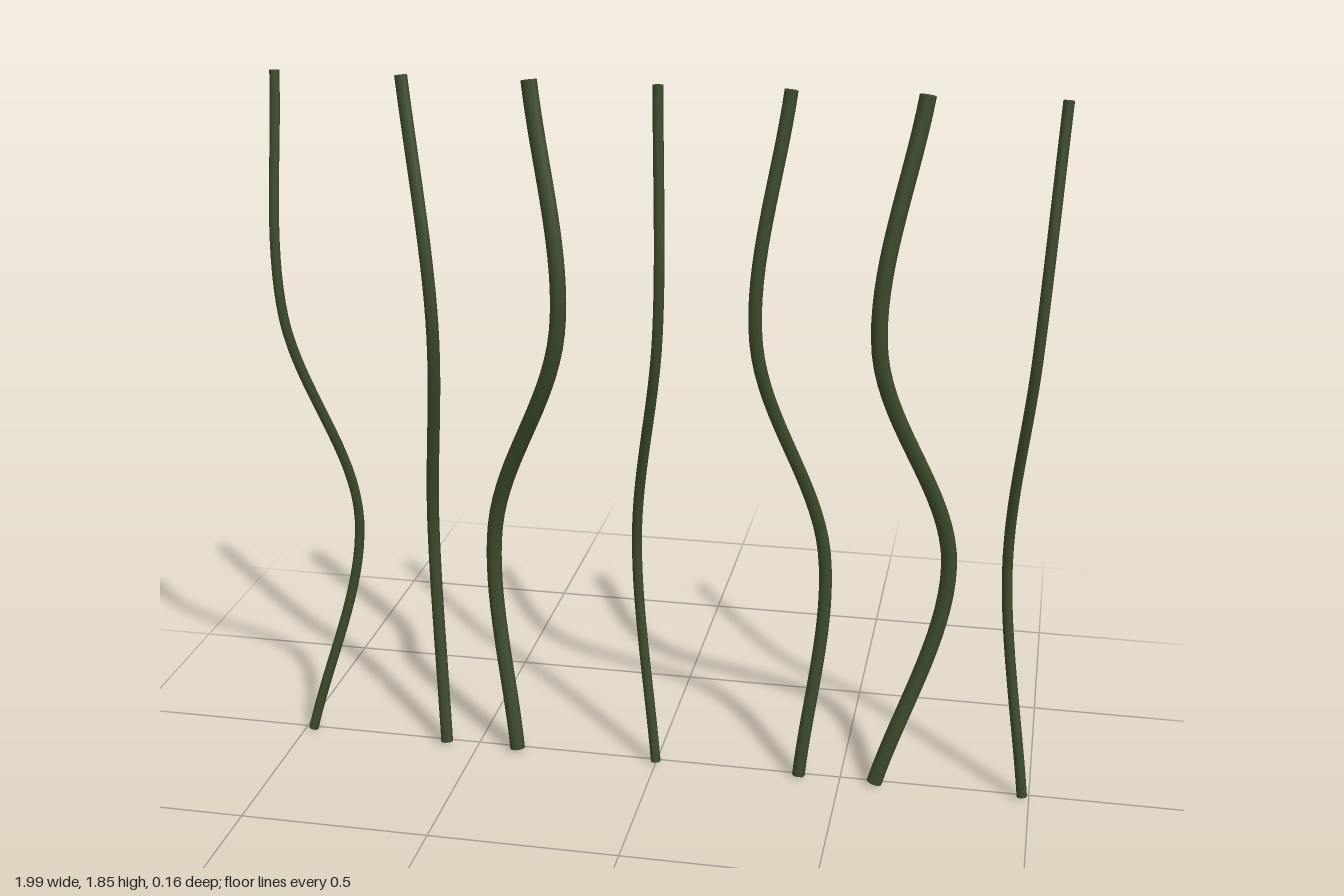
import * as THREE from 'three';

const BOTTOM = 0.005, TOP = 1.845;
const SEGMENTS = 48, SIDES = 8;

// Sway in depth shared by all vines, from bottom to top
const SWAY_Z = [0.02, -0.057, 0.058, -0.01];

// Each vine: radius and sideways position at four even heights, bottom to top
const VINES = [
  { radius: 0.0135, x: [-0.975, -0.836, -0.973, -0.98] },
  { radius: 0.0170, x: [-0.588, -0.627, -0.573, -0.65] },
  { radius: 0.0210, x: [-0.387, -0.455, -0.245, -0.323] },
  { radius: 0.0135, x: [0, -0.066, 0.012, 0] },
  { radius: 0.0170, x: [0.39, 0.434, 0.26, 0.326] },
  { radius: 0.0205, x: [0.593, 0.757, 0.566, 0.652] },
  { radius: 0.0135, x: [0.982, 0.906, 0.949, 0.98] },
];

// Flat disc closing one end of a vine
function endCap(curve, t, radius, material) {
  const cap = new THREE.Mesh(new THREE.CircleGeometry(radius, SIDES), material);
  const outward = curve.getTangentAt(t).multiplyScalar(t === 0 ? -1 : 1);
  cap.position.copy(curve.getPointAt(t));
  cap.quaternion.setFromUnitVectors(new THREE.Vector3(0, 0, 1), outward);
  cap.name = t === 0 ? 'bottomEnd' : 'topEnd';
  return cap;
}

// One hanging vine: a smooth tube through four points, closed at both ends
function createVine({ radius, x }, material) {
  const points = x.map((px, i) =>
    new THREE.Vector3(px, THREE.MathUtils.lerp(BOTTOM, TOP, i / 3), SWAY_Z[i]));
  const curve = new THREE.CatmullRomCurve3(points);
  const vine = new THREE.Group();
  const stem = new THREE.Mesh(
    new THREE.TubeGeometry(curve, SEGMENTS, radius, SIDES, false), material);
  stem.name = 'stem';
  vine.add(stem, endCap(curve, 0, radius, material), endCap(curve, 1, radius, material));
  return vine;
}

export function createModel() {
  const model = new THREE.Group();
  model.name = 'hangingVines';
  const green = new THREE.MeshStandardMaterial({ color: 0x3a4a2a, side: THREE.DoubleSide });
  VINES.forEach((spec, i) => {
    const vine = createVine(spec, green);
    vine.name = `vine${i + 1}`;
    model.add(vine);
  });
  return model;
}
